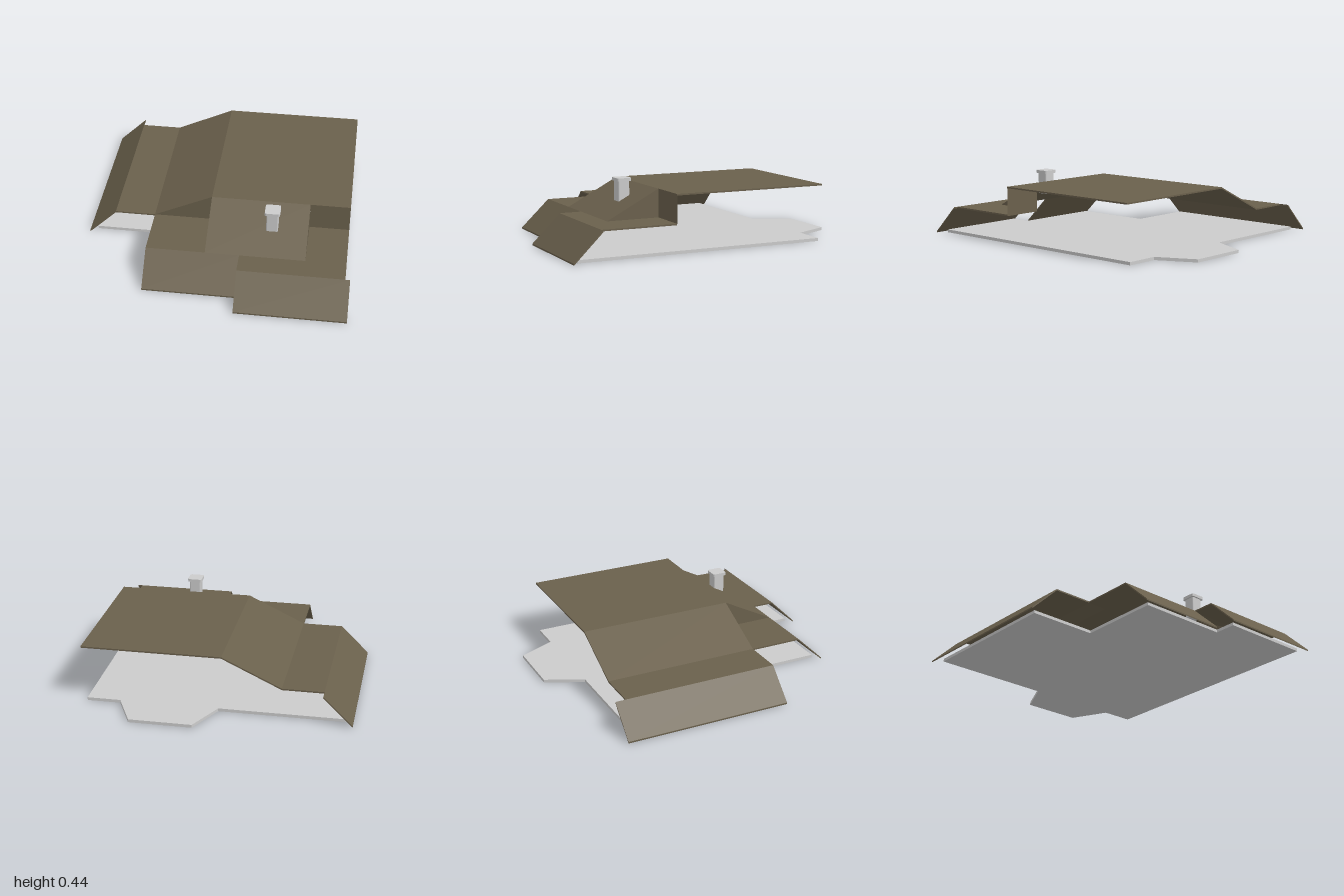
import * as THREE from 'three';
import { RoundedBoxGeometry } from 'three/addons/geometries/RoundedBoxGeometry.js';

const roofMaterial = new THREE.MeshStandardMaterial({ color: 0x6a604c, side: THREE.DoubleSide });
const grey = new THREE.MeshStandardMaterial({ color: 0xcccccc });
const THICK = 0.01;

const shapeOf = (pts) => new THREE.Shape(pts.map(([a, b]) => new THREE.Vector2(a, b)));

export function createModel() {
  const group = new THREE.Group();
  const add = (name, geometry, material) => {
    const mesh = new THREE.Mesh(geometry, material);
    mesh.name = name;
    group.add(mesh);
    return mesh;
  };

  // Turns a drawing in (x, y) into one in (z, y), with its depth running along x
  const orient = (geo, along, from, to) => {
    if (along === 'z') return geo.translate(0, 0, from);
    return geo.rotateY(-Math.PI / 2).translate(to, 0, 0);
  };

  // Thin sheet: a line of top points, swept along x or z
  const sheet = (name, top, along, from, to) => {
    const under = top.map(([a, y]) => [a, y - THICK]).reverse();
    const geo = new THREE.ExtrudeGeometry(shapeOf([...top, ...under]), { depth: to - from, bevelEnabled: false });
    add(name, orient(geo, along, from, to), roofMaterial);
  };

  // Flat upright wall at a fixed x or z
  const wall = (name, pts, along, at) =>
    add(name, orient(new THREE.ShapeGeometry(shapeOf(pts)), along, at, at), roofMaterial);

  // Floor slab, drawn in (x, -z) and laid flat
  const outline = [
    [-0.85, -0.75], [-0.03, -0.75], [0.09, -1], [0.5, -1], [0.62, -0.75], [0.84, -0.75],
    [0.84, 0.955], [0.22, 0.955], [0.22, 0.81], [-0.39, 0.81], [-0.39, 0.26], [-0.85, 0.26],
  ].map(([x, z]) => [x, -z]);
  const floor = new THREE.ExtrudeGeometry(shapeOf(outline), { depth: 0.02, bevelEnabled: false });
  add('floorSlab', floor.rotateX(-Math.PI / 2), grey);

  // Main roof: low flat, ramp and high flat
  sheet('mainRoof', [[-0.71, 0.198], [-0.44, 0.198], [-0.05, 0.383], [0.87, 0.383]], 'z', -0.75, 0.305);
  sheet('sideEave', [[-0.9, 0.012], [-0.71, 0.198]], 'z', -0.82, 0.305);

  // Sloping front roof, with low flats around it
  sheet('frontSlope', [[0.305, 0.383], [0.66, 0.198]], 'x', -0.05, 0.605);
  sheet('leftLowRoof', [[0.305, 0.198], [0.66, 0.198]], 'x', -0.44, -0.05);
  sheet('rightLowRoof', [[0.305, 0.198], [0.66, 0.198]], 'x', 0.605, 0.87);
  sheet('frontLowRoof', [[0.66, 0.198], [0.81, 0.198]], 'x', 0.175, 0.87);

  // Steep front eaves
  sheet('innerEave', [[0.66, 0.198], [0.855, 0.012]], 'x', -0.44, 0.175);
  sheet('outerEave', [[0.81, 0.198], [1, 0.012]], 'x', 0.175, 0.9);

  // Upright walls closing the change of level
  wall('rampGable', [[-0.44, 0.195], [-0.05, 0.195], [-0.05, 0.38]], 'z', 0.303);
  wall('highWall', [[0.605, 0.195], [0.87, 0.195], [0.87, 0.38], [0.605, 0.38]], 'z', 0.303);
  for (const x of [-0.05, 0.605]) {
    wall('slopeCheek', [[0.305, 0.195], [0.66, 0.195], [0.305, 0.38]], 'x', x);
  }

  // Chimney
  const chimney = new THREE.Group();
  chimney.name = 'chimney';
  chimney.position.set(0.37, 0, 0.455);
  const part = (name, w, h, y, r) => {
    const mesh = new THREE.Mesh(new RoundedBoxGeometry(w, h, w, 2, r), grey);
    mesh.name = name;
    mesh.position.y = y;
    chimney.add(mesh);
  };
  part('chimneyShaft', 0.078, 0.15, 0.348, 0.008);
  // Cap: rounded square plate
  const c = 0.05, r = 0.013;
  const plate = new THREE.Shape();
  plate.absarc(c - r, c - r, r, 0, Math.PI / 2);
  plate.absarc(r - c, c - r, r, Math.PI / 2, Math.PI);
  plate.absarc(r - c, r - c, r, Math.PI, Math.PI * 1.5);
  plate.absarc(c - r, r - c, r, Math.PI * 1.5, Math.PI * 2);
  const cap = new THREE.Mesh(
    new THREE.ExtrudeGeometry(plate, { depth: 0.02, bevelEnabled: false, curveSegments: 4 }).rotateX(-Math.PI / 2), grey);
  cap.name = 'chimneyCap';
  cap.position.y = 0.416;
  chimney.add(cap);
  group.add(chimney);

  return group;
}
